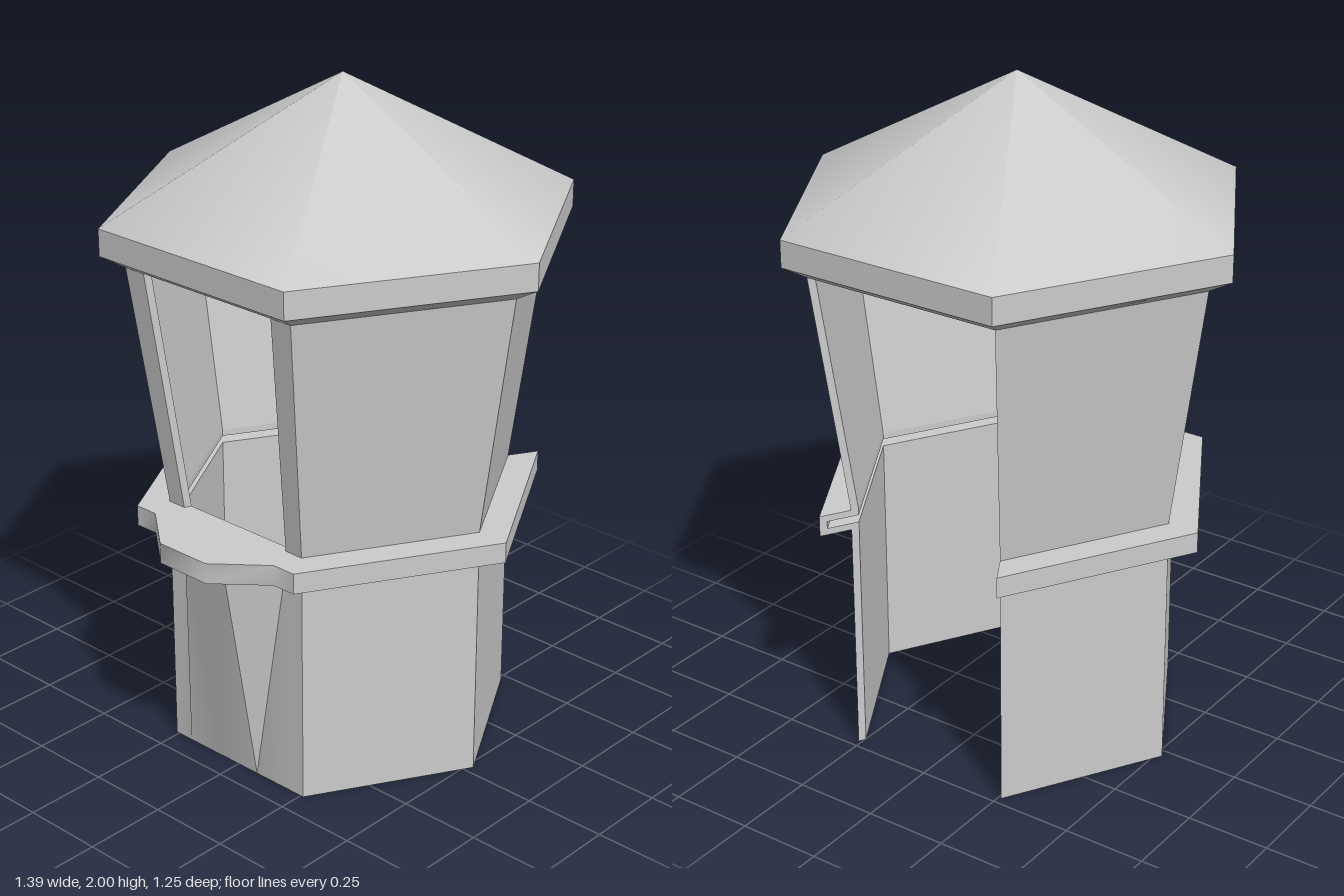
import * as THREE from 'three';
import { toCreasedNormals } from 'three/addons/utils/BufferGeometryUtils.js';

const TAN30 = Math.tan(Math.PI / 6);

// Closed cross-sections: [distance from axis to face, height, front bulge]
const BASE = [[0.45, 0, 0], [0.45, 0.71, 0.12], [0.43, 0.71, 0.12], [0.43, 0, 0]];
const COUNTER = [
  [0.45, 0.71, 0.12], [0.533, 0.71, 0.118], [0.533, 0.772, 0.118], [0.45, 0.772, 0], [0.43, 0.772, 0],
  [0.43, 0.752, 0], [0.513, 0.752, 0.118], [0.513, 0.73, 0.118], [0.43, 0.73, 0.12], [0.43, 0.71, 0.12],
];
const UPPER = [[0.45, 0.772, 0], [0.54, 1.5, 0], [0.52, 1.5, 0], [0.43, 0.772, 0]];
const ROOF = [
  [0.54, 1.5, 0], [0.602, 1.54, 0], [0.602, 1.62, 0], [0, 2, 0],
  [0, 1.977, 0], [0.582, 1.607, 0], [0.582, 1.552, 0], [0.52, 1.511, 0],
];

// Columns across one side: [fraction of the half width, share of the bulge]
const FULL = [[-1, 0], [1, 0]];
const BOWED = [[-1, 0], [-0.76, 0], [-0.29, 1], [0.29, 1], [0.76, 0], [1, 0]];
const POST_A = [[-1, 0], [-0.77, 0]];
const POST_B = [[0.77, 0], [1, 0]];

// Sweeps a cross-section across hexagon side k, with mitred ends
function addSide(out, profile, k, cols, capStart, capEnd) {
  const phi = k * Math.PI / 3, s = Math.sin(phi), c = Math.cos(phi);
  const point = ([a, y, b], [f, w]) => {
    const u = f * a * TAN30, d = a + b * w;
    return new THREE.Vector3(d * s + u * c, y, d * c - u * s);
  };
  const tri = (p, q, r) => {
    const area = q.clone().sub(p).cross(r.clone().sub(p)).length();
    if (area > 1e-9) for (const v of [p, q, r]) out.push(v.x, v.y, v.z);
  };
  const n = profile.length;
  for (let j = 0; j < cols.length - 1; j++) {
    for (let i = 0; i < n; i++) {
      const lo = profile[i], hi = profile[(i + 1) % n];
      const p = point(lo, cols[j]), q = point(lo, cols[j + 1]);
      const r = point(hi, cols[j + 1]), t = point(hi, cols[j]);
      tri(p, q, r);
      tri(p, r, t);
    }
  }
  const cap = (col, flip) => {
    const flat = profile.map(([a, y]) => new THREE.Vector2(a, y));
    for (const f of THREE.ShapeUtils.triangulateShape(flat, [])) {
      const ccw = THREE.ShapeUtils.area(f.map(i => flat[i])) > 0;
      const [p, q, r] = f.map(i => point(profile[i], col));
      if (ccw !== flip) tri(p, q, r); else tri(p, r, q);
    }
  };
  if (capStart) cap(cols[0], false);
  if (capEnd) cap(cols[cols.length - 1], true);
}

function makePart(name, build, material) {
  const out = [];
  build(out);
  const geometry = new THREE.BufferGeometry();
  geometry.setAttribute('position', new THREE.Float32BufferAttribute(out, 3));
  geometry.computeVertexNormals();
  const mesh = new THREE.Mesh(toCreasedNormals(geometry, 0.7), material);
  mesh.name = name;
  return mesh;
}

export function createModel() {
  const group = new THREE.Group();
  group.name = 'hexagonalKiosk';
  const material = new THREE.MeshStandardMaterial({ color: 0xcccccc });

  // Side 0 is the front; side 3, the back, stays open as the doorway
  const sides = [-2, -1, 1, 2];
  const addFlanks = (out, profile) => {
    for (const k of sides) addSide(out, profile, k, FULL, k === -2, k === 2);
  };

  // Lower walls and counter, both bowed outward at the front
  for (const [name, profile] of [['lowerWalls', BASE], ['counter', COUNTER]]) {
    group.add(makePart(name, out => {
      addFlanks(out, profile);
      addSide(out, profile, 0, BOWED, false, false);
    }, material));
  }

  // Flared upper walls
  group.add(makePart('upperWalls', out => addFlanks(out, UPPER), material));

  // Posts either side of the serving window
  group.add(makePart('windowPosts', out => {
    addSide(out, UPPER, 0, POST_A, false, true);
    addSide(out, UPPER, 0, POST_B, true, false);
  }, material));

  // Hollow roof with its eave, closed all round
  group.add(makePart('roof', out => {
    for (let k = 0; k < 6; k++) addSide(out, ROOF, k, FULL, false, false);
  }, material));

  for (const part of group.children) part.position.z = -0.027;
  return group;
}
